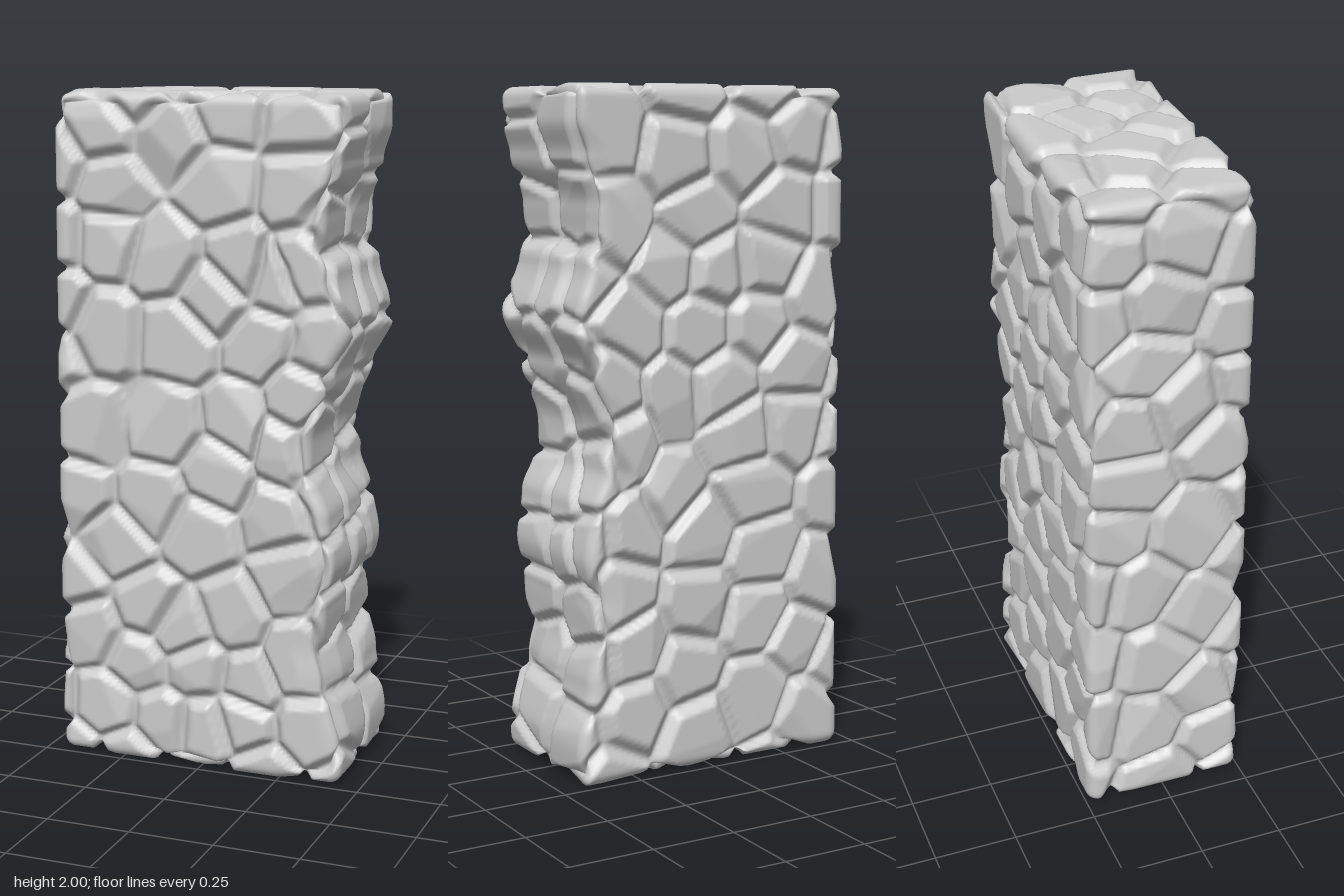
import * as THREE from 'three';
import { mergeVertices } from 'three/addons/utils/BufferGeometryUtils.js';

const W = 0.455, H = 1, D = 0.25, ROUND = 0.04;

// stone centres: front (x, y), right side (z, y), top (x, z)
const FRONT = [
  -.29, 1.57, -.30, 1.31, -.35, 1.01, -.12, 1.03, -.07, 1.30, -.11, 1.52, .06, 1.74, .31, 1.74, -.08, 1.87,
  -.31, 1.89, -.28, 1.72, .30, 1.92, .09, 1.95, .13, 1.52, .04, 1.42, .25, 1.47, .35, 1.50, .20, 1.29,
  .38, 1.31, .14, 1.06, .33, 1.15, .29, 1.0, .06, .90, .25, .78, 0, .73, -.28, .67, -.15, .81, -.39, .80,
  .29, .62, .12, .48, -.17, .47, -.07, .41, -.36, .39, .33, .36, -.20, .31, .17, .28, -.02, .31,
  -.31, .15, -.12, .13, .14, .16, .35, .15, .01, .12, -.41, .54,
];
const RIGHT = [
  .14, 1.92, -.10, 1.87, .11, 1.79, -.10, 1.65, .14, 1.65, .13, 1.46, -.05, 1.44, -.17, 1.44, .08, 1.22,
  -.14, 1.26, .14, 1.02, -.11, 1.09, -.15, .89, .13, .83, -.02, .83, .11, .65, -.05, .65, -.18, .68,
  .11, .50, -.10, .48, .06, .35, -.15, .31, .08, .17, -.14, .12,
];
const TOP = [
  -.40, -.15, -.22, -.07, -.08, .04, -.38, .13, .02, .15, .14, -.04, .08, -.19, .33, -.08, .23, .10,
  .40, .12, -.20, .20, -.20, -.20,
];
// uneven right edge: (y, x)
const EDGE = [
  0, .445, .1, .45, .3, .41, .42, .385, .52, .39, .66, .42, .8, .40, .92, .355, 1.02, .35, 1.2, .40,
  1.34, .455, 1.5, .41, 1.58, .38, 1.66, .385, 1.8, .43, 1.9, .455, 2, .45,
];

function randomFrom(seed) {
  return () => {
    seed = (seed * 1664525 + 1013904223) % 4294967296;
    return seed / 4294967296;
  };
}

function edgeAt(y) {
  let i = 0;
  while (i < EDGE.length - 4 && y > EDGE[i + 2]) i += 2;
  const t = THREE.MathUtils.smoothstep(y, EDGE[i], EDGE[i + 2]);
  return THREE.MathUtils.lerp(EDGE[i + 1], EDGE[i + 3], t);
}

// One centre, tilt and bevel for every stone, in box-centred coordinates
function layStones() {
  const rand = randomFrom(41);
  const stones = [];
  const add = (x, y, z, gap) => {
    const p = new THREE.Vector3(x, y, z);
    if (stones.some(s => s.p.distanceTo(p) < gap)) return;
    stones.push({
      p,
      inset: rand() * 0.008,
      tilt: new THREE.Vector3(rand() - 0.5, rand() - 0.5, rand() - 0.5).normalize(),
      slope: 0.1 + rand() * 0.25,
      bevel: 0.02 + rand() * 0.014,
    });
  };
  for (let i = 0; i < FRONT.length; i += 2) add(FRONT[i], FRONT[i + 1] - H, D, 0.05);
  for (let i = 0; i < TOP.length; i += 2) add(TOP[i], H, TOP[i + 1], 0.12);
  for (let i = 0; i < RIGHT.length; i += 2) add(W, RIGHT[i + 1] - H, RIGHT[i], 0.12);
  // scatter evenly over the back, left and underside
  for (let i = 0; i < 3000; i++) {
    const x = (rand() * 2 - 1) * W, y = (rand() * 2 - 1) * H, z = (rand() * 2 - 1) * D;
    const pick = rand();
    if (pick < 0.5) add(x, y, -D, 0.165);
    else if (pick < 0.8) add(-W, y, z, 0.165);
    else add(x, -H, z, 0.165);
  }
  return stones;
}

// How far the surface sinks at p: flat stone tops, bevelled sides, narrow joints
function sinkAt(p, stones) {
  let own = stones[0], best = Infinity;
  for (const s of stones) {
    const d = p.distanceToSquared(s.p);
    if (d < best) { best = d; own = s; }
  }
  let joint = Infinity;
  for (const s of stones) {
    if (s === own) continue;
    const d = (p.distanceToSquared(s.p) - best) / (2 * s.p.distanceTo(own.p));
    if (d < joint) joint = d;
  }
  const bevel = 1 - THREE.MathUtils.clamp((joint - 0.004) / own.bevel, 0, 1);
  const along = p.clone().sub(own.p).dot(own.tilt);
  const facet = Math.max(0, along - 0.03) * own.slope;
  return Math.min(0.036, Math.max(own.inset + facet, 0.032 * bevel));
}

function wallGeometry() {
  let geo = new THREE.BoxGeometry(2 * W, 2 * H, 2 * D, 90, 195, 48);
  geo.deleteAttribute('uv');
  geo.deleteAttribute('normal');
  geo = mergeVertices(geo, 1e-5);
  const stones = layStones();
  const pos = geo.attributes.position;
  const p = new THREE.Vector3(), core = new THREE.Vector3(), n = new THREE.Vector3();
  const limit = new THREE.Vector3(W - ROUND, H - ROUND, D - ROUND);
  const lower = limit.clone().negate();
  for (let i = 0; i < pos.count; i++) {
    p.fromBufferAttribute(pos, i);
    // round the box corners, then press the joints inwards
    core.copy(p).clamp(lower, limit);
    n.copy(p).sub(core).normalize();
    p.copy(core).addScaledVector(n, ROUND);
    p.addScaledVector(n, -sinkAt(p, stones));
    // bend the right side to its uneven outline
    const y = p.y + H;
    p.x += (edgeAt(y) - W) * THREE.MathUtils.smoothstep(p.x, 0.1, 0.42);
    pos.setXYZ(i, p.x, y, p.z);
  }
  geo.computeVertexNormals();
  return geo;
}

export function createModel() {
  const group = new THREE.Group();
  group.name = 'stoneWallSection';
  const wall = new THREE.Mesh(wallGeometry(), new THREE.MeshStandardMaterial({ color: 0xcccccc }));
  wall.name = 'stonework';
  group.add(wall);
  return group;
}
